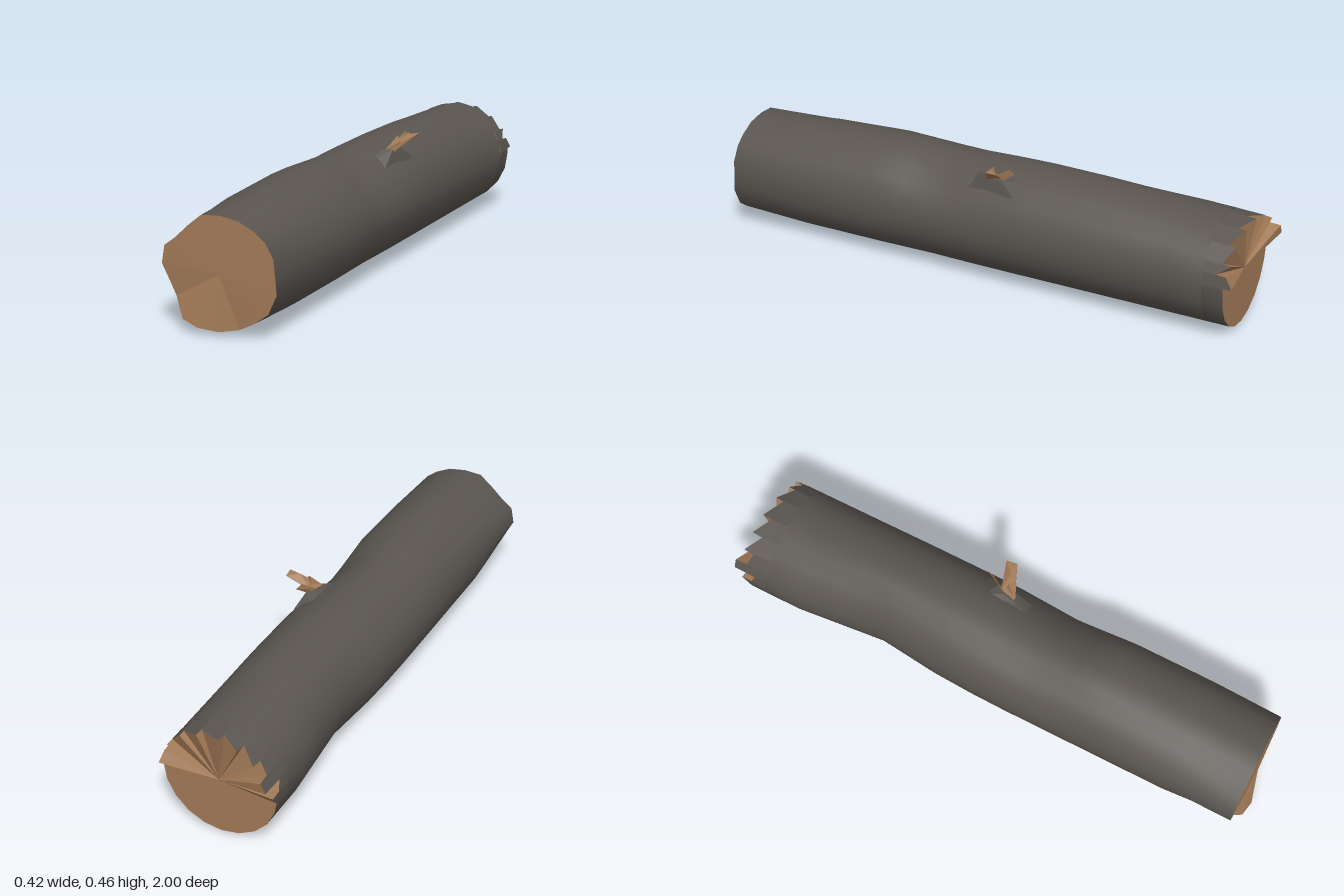
import * as THREE from 'three';
import { ConvexGeometry } from 'three/addons/geometries/ConvexGeometry.js';

const SIDES = 20, CY = 0.213;
const lerpTable = (table, z) => {
  for (let i = 0; i < table.length - 1; i++) {
    const [z0, v0] = table[i], [z1, v1] = table[i + 1];
    if (z <= z0 && z >= z1) return v0 + (v1 - v0) * (z0 - z) / (z0 - z1);
  }
  return table[table.length - 1][1];
};
// outline of the trunk along its length
const TOP = [[1, 0.385], [0.7, 0.405], [0.4, 0.422], [0.1, 0.408], [-0.15, 0.42], [-0.45, 0.42], [-0.65, 0.405], [-1, 0.39]];
const LEFT = [[1, 0.195], [0.8, 0.205], [0.35, 0.205], [0.2, 0.197], [0, 0.205], [-1, 0.205]];
const RIGHT = [[1, 0.21], [0, 0.21], [-0.2, 0.2], [-0.42, 0.175], [-0.75, 0.21], [-1, 0.21]];

function barkPoint(deg, z) {
  const t = THREE.MathUtils.degToRad(deg), c = Math.cos(t), s = Math.sin(t);
  // shallow hollow on the upper left side
  const hollow = 1 - 0.13 * Math.exp(-(((deg - 50) / 28) ** 2) - ((z - 0.18) / 0.16) ** 2);
  const x = c * lerpTable(c > 0 ? LEFT : RIGHT, z) * hollow;
  const y = CY + s * (s > 0 ? lerpTable(TOP, z) - CY : 0.206) * hollow;
  return [x, y, z];
}

// uneven sawn front rim, counter-clockwise from +x
const FRONT = [
  [0.193, 0.21], [0.187, 0.27], [0.158, 0.32], [0.12, 0.35], [0.065, 0.377],
  [0, 0.387], [-0.065, 0.383], [-0.112, 0.345], [-0.16, 0.3], [-0.2, 0.27],
  [-0.211, 0.21], [-0.185, 0.16], [-0.16, 0.11], [-0.125, 0.045], [-0.065, 0.026],
  [0, 0.015], [0.065, 0.027], [0.12, 0.055], [0.167, 0.09], [0.197, 0.155],
].map(([x, y], i) => [x, y, i === 14 ? 1 : i === 13 ? 0.99 : i === 15 ? 0.98 : 0.965]);

// broken back rim: angle and z; close pairs of angles make steps
const BACK = [
  [0, -0.945], [5, -0.945], [6, -0.975], [18, -0.95], [19, -0.915], [30, -0.96], [31, -0.93],
  [50, -0.955], [51, -0.93], [72, -0.965], [73, -0.935], [95, -0.97], [96, -0.935], [115, -0.975],
  [116, -0.935], [135, -0.98], [136, -0.94], [150, -0.955], [151, -1], [163, -1], [164, -0.91],
  [175, -0.93], [176, -0.97], [186, -0.945],
  ...[198, 216, 234, 252, 270, 288, 306, 324, 342].map((a) => [a, -0.945]),
];

function buildGeometry(points, index) {
  const g = new THREE.BufferGeometry();
  g.setAttribute('position', new THREE.Float32BufferAttribute(points.flat(), 3));
  g.setIndex(index);
  return g;
}

// closed tube through rings of equal length, running from front to back
function skin(rings) {
  const n = rings[0].length, index = [];
  for (let r = 0; r < rings.length - 1; r++) {
    for (let i = 0; i < n; i++) {
      const j = (i + 1) % n, a = r * n + i, b = r * n + j;
      index.push(a, a + n, b, b, a + n, b + n);
    }
  }
  const g = buildGeometry(rings.flat(), index);
  g.computeVertexNormals();
  return g;
}

// flat-faced fan from a centre point to a rim
function fan(centre, rim, backward) {
  const index = [];
  rim.forEach((_, i) => {
    const a = i + 1, b = ((i + 1) % rim.length) + 1;
    index.push(0, ...(backward ? [b, a] : [a, b]));
  });
  const g = buildGeometry([centre, ...rim], index).toNonIndexed();
  g.computeVertexNormals();
  return g;
}

const hull = (pts) => new ConvexGeometry(pts.map((p) => new THREE.Vector3(...p)));

export function createModel() {
  const model = new THREE.Group();
  model.name = 'fallenLog';
  const bark = new THREE.MeshStandardMaterial({ color: 0x5a5550, side: THREE.DoubleSide });
  bark.name = 'darkBark';
  const wood = new THREE.MeshStandardMaterial({ color: 0xa27a57, side: THREE.DoubleSide });
  wood.name = 'bareWood';
  const add = (name, geometry, material) => {
    const mesh = new THREE.Mesh(geometry, material);
    mesh.name = name;
    model.add(mesh);
  };

  // trunk
  const stations = [0.7, 0.4, 0.28, 0.18, 0.08, -0.05, -0.2, -0.42, -0.6, -0.75, -0.87];
  const rings = stations.map((z) =>
    Array.from({ length: SIDES }, (_, i) => barkPoint(i * 360 / SIDES, z)));
  add('trunkBark', skin([FRONT, ...rings]), bark);

  // splintered bark edge at the back
  const backRim = BACK.map(([a, z]) => barkPoint(a, z));
  add('brokenBarkEdge', skin([BACK.map(([a]) => barkPoint(a, -0.87)), backRim]), bark);

  // end faces
  add('frontCut', fan([0, 0.2, 0.972], FRONT, false), wood);
  add('brokenBackEnd', fan([0, CY, -0.945], backRim, true), wood);

  // snapped branch: bark collar, then splinters
  add('branchCollar', hull([
    [0.13, 0.32, 0.07], [0.07, 0.37, 0.05], [0.07, 0.38, -0.16], [0.15, 0.355, -0.155],
    [0.09, 0.402, -0.02], [0.125, 0.4, -0.04], [0.1, 0.405, -0.08], [0.13, 0.4, -0.1],
  ]), bark);
  const splinters = [
    [[0.09, 0.395, -0.03], [0.13, 0.395, -0.045], [0.11, 0.4, -0.09], [0.205, 0.458, -0.075],
      [0.2, 0.455, -0.115], [0.165, 0.455, -0.08]],
    [[0.1, 0.398, -0.06], [0.125, 0.398, -0.1], [0.13, 0.45, -0.13], [0.14, 0.44, -0.155]],
    [[0.1, 0.398, -0.03], [0.12, 0.395, -0.08], [0.13, 0.448, -0.07], [0.15, 0.43, -0.05]],
  ];
  splinters.forEach((pts, i) => add(`branchSplinter${i + 1}`, hull(pts), wood));

  // loose bark flake under the trunk
  add('barkFlake', hull([
    [-0.12, 0.03, -0.1], [-0.06, 0.0, -0.2], [-0.045, 0.008, -0.25], [-0.1, 0.035, -0.3], [-0.05, 0.02, -0.12],
  ]), bark);
  return model;
}
